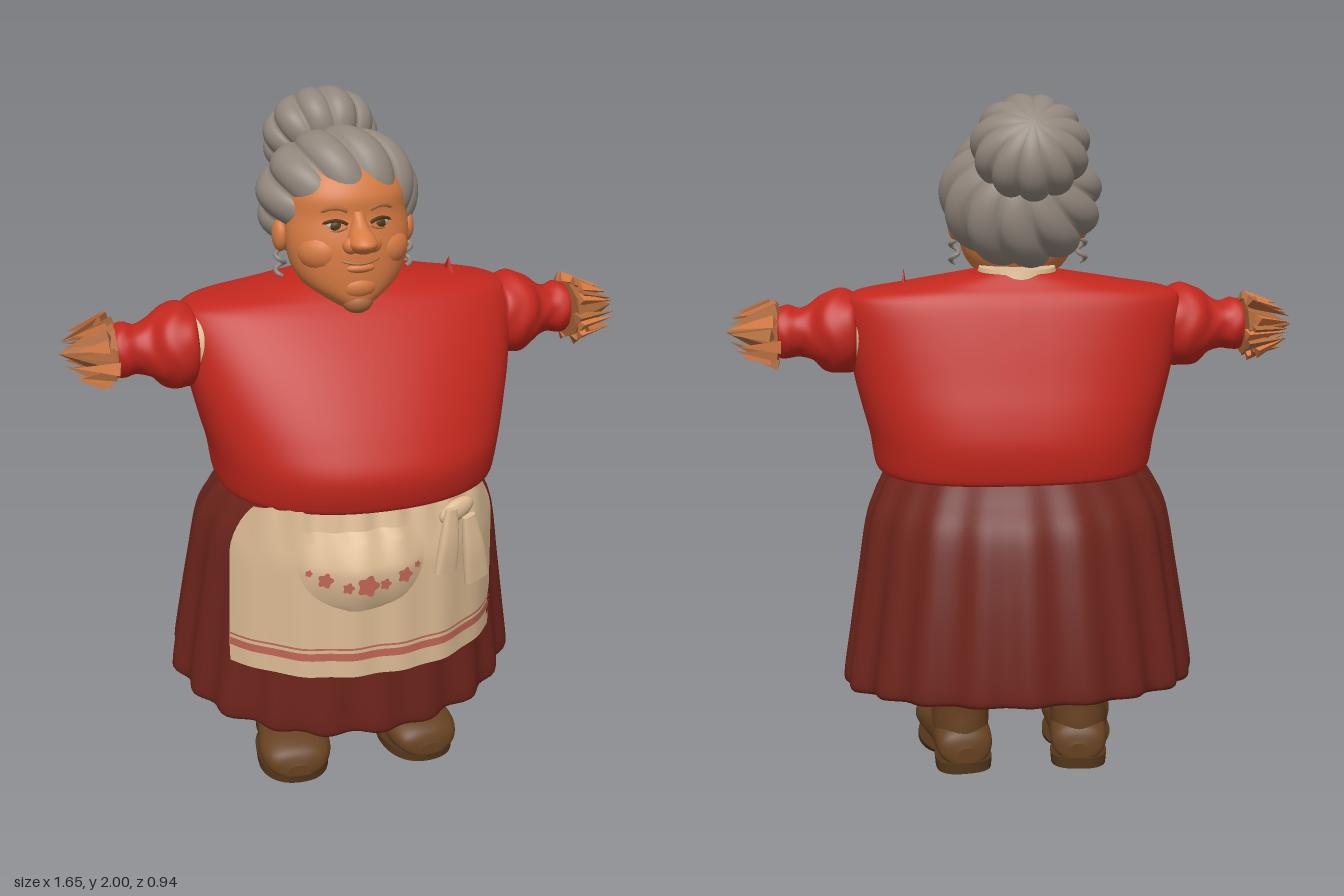
import * as THREE from 'three';

const mat = (name, color, side = THREE.FrontSide) => {
  const m = new THREE.MeshStandardMaterial({ color, side });
  m.name = name;
  return m;
};
const M = {
  skin: mat('skin', 0xd67a42),
  darkSkin: mat('dark skin', 0xb06c3e, THREE.DoubleSide),
  red: mat('red wool', 0xc1271d),
  maroon: mat('maroon cloth', 0x6c241b, THREE.DoubleSide),
  cream: mat('cream linen', 0xdcbb94, THREE.DoubleSide),
  hair: mat('grey hair', 0x91867c),
  boot: mat('brown leather', 0x664120),
  dark: mat('dark brown', 0x53361b),
  white: mat('eye white', 0xb9a391),
  coral: mat('coral embroidery', 0xc26655, THREE.DoubleSide),
};

const add = (parent, name, geo, material, pos = [0, 0, 0], rot = [0, 0, 0], scale = [1, 1, 1]) => {
  const m = new THREE.Mesh(geo, material);
  m.name = name;
  m.position.set(...pos);
  m.rotation.set(...rot);
  m.scale.set(...scale);
  parent.add(m);
  return m;
};

// Skin a list of point rows; closed rows wrap round and get end caps
function loft(rows, closed = true) {
  const n = rows[0].length, pos = [], idx = [];
  rows.forEach(r => r.forEach(p => pos.push(p.x, p.y, p.z)));
  for (let i = 0; i < rows.length - 1; i++)
    for (let j = 0; j < (closed ? n : n - 1); j++) {
      const k = (j + 1) % n, a = i * n + j, b = i * n + k;
      idx.push(a, b, a + n, b, b + n, a + n);
    }
  if (closed) [rows[0], rows[rows.length - 1]].forEach((row, top) => {
    const c = row.reduce((s, p) => s.add(p), new THREE.Vector3()).divideScalar(n);
    const base = pos.length / 3;
    [c, ...row].forEach(p => pos.push(p.x, p.y, p.z));
    for (let j = 0; j < n; j++) {
      const a = base + 1 + j, b = base + 1 + (j + 1) % n;
      top ? idx.push(base, a, b) : idx.push(base, b, a);
    }
  });
  const g = new THREE.BufferGeometry();
  g.setAttribute('position', new THREE.Float32BufferAttribute(pos, 3));
  g.setIndex(idx);
  g.computeVertexNormals();
  return g;
}

// Smooth upright body from keys [y, half width, front z, back z]; n sets squareness
function body(keys, { n = 2, nBack = n, seg = 48, steps = 6, warp } = {}) {
  const cols = [0, 1, 2, 3].map(c => new THREE.SplineCurve(keys.map((k, i) => new THREE.Vector2(i, k[c]))));
  const rows = [], count = (keys.length - 1) * steps;
  for (let i = 0; i <= count; i++) {
    const [y, rx, zf, zb] = cols.map(c => c.getPoint(i / count).y);
    rows.push(Array.from({ length: seg }, (_, j) => {
      const t = j / seg * Math.PI * 2;
      const pw = v => Math.sign(v) * Math.abs(v) ** (2 / (Math.cos(t) > 0 ? n : nBack));
      const p = new THREE.Vector3(rx * pw(Math.sin(t)), y, (zf + zb) / 2 + (zf - zb) / 2 * pw(Math.cos(t)));
      if (warp) warp(p, t, i / count);
      return p;
    }));
  }
  return loft(rows);
}

const sheet = (fn, nu = 24, nv = 12) => loft(Array.from({ length: nv + 1 }, (_, i) =>
  Array.from({ length: nu + 1 }, (_, j) => fn(j / nu, i / nv))), false);

// Grooved ball of hair whose locks meet at both poles
function lockedBall(rx, ry, rz, locks, depth, swirl) {
  const rows = [];
  for (let i = 0; i <= 28; i++) {
    const a = Math.PI * (0.01 + 0.98 * i / 28);
    rows.push(Array.from({ length: locks * 12 }, (_, j) => {
      const t = j / (locks * 12) * Math.PI * 2, w = t + swirl * Math.cos(a);
      const r = Math.sin(a) * (1 - depth * (1 - Math.abs(Math.sin(t * locks / 2)) ** 0.7));
      return new THREE.Vector3(rx * r * Math.sin(w), -ry * Math.cos(a), rz * r * Math.cos(w));
    }));
  }
  return loft(rows);
}

// Apron surface gathered in at the waist, and the pocket that swells from it
const apronPoint = (x, y, off = 0) => {
  const f = Math.min(1, Math.abs(x + 0.02) / 0.4), gather = Math.max(0, y - 0.78);
  const z = 0.22 + (0.2 - 0.25 * gather) * (1 - f ** 2.6);
  return new THREE.Vector3(x, y, z + off + 0.004 * Math.sin(x * 45) + gather * 0.05 * Math.sin(x * 70));
};
const apronX = (u, y) => -0.02 + (u - 0.5) * 2 * (0.4 - 0.02 * Math.max(0, y - 0.5) - 2.2 * Math.max(0, y - 0.78) ** 2);
const pocketPoint = (u, v) => {
  const half = 0.19 * Math.sqrt(1 - (1 - v) ** 3 * 0.95) * (1 - 0.12 * v ** 3);
  return apronPoint(-0.08 + (u * 2 - 1) * half, 0.65 + 0.23 * v,
    0.008 + 0.034 * Math.sin(Math.PI * u) * Math.sin(Math.PI * Math.min(1, v * 0.9 + 0.05)));
};

function buildHead() {
  const head = new THREE.Group();
  head.name = 'head';
  head.position.x = -0.02;
  const ball = (name, m, r, pos, scale) => add(head, name, new THREE.SphereGeometry(r, 20, 14), m, pos, [0, 0, 0], scale);
  add(head, 'face', body([[1.45, 0.05, 0.185, 0.03], [1.475, 0.09, 0.197, -0.01],
    [1.51, 0.135, 0.2, -0.04], [1.56, 0.163, 0.2, -0.06], [1.63, 0.175, 0.195, -0.07], [1.7, 0.17, 0.178, -0.07],
    [1.76, 0.16, 0.172, -0.06], [1.82, 0.12, 0.13, -0.03], [1.86, 0.03, 0.06, 0.02]]), M.skin);
  // Nose widens smoothly from the brow to a round tip
  add(head, 'nose', body([[1.612, 0.012, 0.215, 0.16], [1.62, 0.032, 0.244, 0.16], [1.642, 0.041, 0.265, 0.16],
    [1.662, 0.034, 0.25, 0.15], [1.685, 0.024, 0.212, 0.14], [1.72, 0.018, 0.182, 0.13]], { seg: 24 }), M.skin);
  ball('chin', M.skin, 0.05, [0, 1.512, 0.165], [1.2, 0.8, 0.85]);
  ball('underChin', M.darkSkin, 0.04, [0, 1.466, 0.165], [1.1, 0.85, 0.95]);
  ball('lowerLip', M.skin, 0.03, [0, 1.567, 0.187], [1.5, 0.5, 0.7]);
  const smile = new THREE.QuadraticBezierCurve3(new THREE.Vector3(-0.06, 1.592, 0.184),
    new THREE.Vector3(0, 1.57, 0.224), new THREE.Vector3(0.06, 1.592, 0.184));
  add(head, 'mouth', new THREE.TubeGeometry(smile, 16, 0.004, 6), M.darkSkin);
  for (const s of [-1, 1]) {
    ball('nostril', M.skin, 0.023, [s * 0.031, 1.635, 0.206]);
    ball('cheek', M.skin, 0.078, [s * 0.08, 1.605, 0.114], [1, 0.85, 0.9]);
    ball('eye', M.white, 0.028, [s * 0.063, 1.682, 0.158], [1, 0.55, 0.6]);
    ball('iris', M.dark, 0.018, [s * 0.061, 1.682, 0.169], [1, 0.8, 0.5]);
    ball('ear', M.skin, 0.046, [s * 0.182, 1.632, 0.03], [0.5, 1, 0.75]);
    for (const [name, y, rise, r, z, m] of [['brow', 1.722, 0.022, 0.006, 0.166, M.darkSkin],
      ['upperLid', 1.687, 0.024, 0.005, 0.17, M.dark], ['lowerLid', 1.678, -0.016, 0.004, 0.17, M.darkSkin]]) {
      const c = new THREE.QuadraticBezierCurve3(new THREE.Vector3(s * 0.033, y, z + 0.008),
        new THREE.Vector3(s * 0.065, y + rise, z + 0.013), new THREE.Vector3(s * 0.1, y - 0.004, z - 0.02));
      add(head, name, new THREE.TubeGeometry(c, 12, r, 6), m);
    }
    // Hanging curl beside the ear
    const coil = Array.from({ length: 25 }, (_, i) => new THREE.Vector3(
      s * (0.185 + 0.012 * Math.cos(i * 0.6)), 1.62 - i * 0.0042, 0.035 + 0.012 * Math.sin(i * 0.6)));
    add(head, 'curl', new THREE.TubeGeometry(new THREE.CatmullRomCurve3(coil), 60, 0.007, 6), M.hair);
  }
  add(head, 'hair', lockedBall(0.234, 0.172, 0.217, 11, 0.12, 0.35), M.hair, [0, 1.718, -0.033], [-0.9, 0, 0]);
  add(head, 'bun', lockedBall(0.167, 0.118, 0.16, 11, 0.12, 0.12), M.hair, [-0.012, 1.86, -0.163], [-0.9, 0, 0]);
  return head;
}

function buildArm(seed) {
  const arm = new THREE.Group();
  let s = seed;
  const rnd = () => (s = (s * 16807) % 2147483647) / 2147483647;
  const round = ks => ks.map(([x, r]) => [x, r, r, -r]);
  const along = [0, 0, -Math.PI / 2];
  add(arm, 'shirtCuff', body(round([[0.4, 0.1], [0.465, 0.104]])), M.cream, [0, 1.335, -0.01], along);
  add(arm, 'sleeve', body(round([[0.452, 0.08], [0.458, 0.112], [0.5, 0.122], [0.545, 0.11], [0.58, 0.082],
    [0.615, 0.07], [0.65, 0.077], [0.68, 0.067], [0.69, 0.03]]), {
    warp: (p, t, u) => { const k = 1 + 0.022 * Math.sin(u * 26 + Math.sin(t * 3) * 2); p.x *= k; p.z *= k; },
  }), M.red, [0, 1.335, -0.01], along);
  // Jagged hand: a crumpled faceted cone with blades lying along it
  const facet = (name, r, h, sides, m, pos, rot, scale) => {
    const geo = new THREE.ConeGeometry(r, h, sides).toNonIndexed();
    geo.computeVertexNormals();
    return add(arm, name, geo, m, pos, rot, scale);
  };
  facet('hand', 0.085, 0.15, 9, M.darkSkin, [0.75, 1.333, 0.01], along, [1, 1, 1.3]);
  for (let i = 0; i < 18; i++) {
    const a = (i + rnd()) / 18 * Math.PI * 2, r = 0.075 + 0.02 * rnd(), end = 0.03 + 0.05 * rnd();
    const start = new THREE.Vector3(0.665 + 0.04 * rnd(), 1.333 + r * Math.sin(a), 0.01 + 1.3 * r * Math.cos(a));
    const tip = new THREE.Vector3(0.84 - end * 0.8, 1.333 + end * Math.sin(a), 0.01 + 1.5 * end * Math.cos(a));
    const d = tip.clone().sub(start);
    facet('handBlade', 0.022, d.length(), 3, i % 2 ? M.skin : M.darkSkin, start.lerp(tip, 0.5).toArray())
      .quaternion.setFromUnitVectors(new THREE.Vector3(0, 1, 0), d.normalize());
  }
  return arm;
}

function buildBoot(side) {
  const boot = new THREE.Group();
  boot.name = side > 0 ? 'leftBoot' : 'rightBoot';
  boot.position.x = side > 0 ? 0.163 : -0.202;
  boot.rotation.y = side * 0.1;
  add(boot, 'leg', body([[0.05, 0.08, 0.09, -0.11], [0.13, 0.086, 0.1, -0.11], [0.2, 0.086, 0.085, -0.105],
    [0.27, 0.09, 0.09, -0.115], [0.4, 0.087, 0.085, -0.11]]), M.boot);
  // Foot runs heel to toe: [z, half width, -bottom, -top]
  add(boot, 'foot', body([[-0.125, 0.03, -0.02, -0.08], [-0.1, 0.08, -0.02, -0.13], [0, 0.088, -0.02, -0.165],
    [0.1, 0.1, -0.02, -0.15], [0.19, 0.108, -0.02, -0.132], [0.25, 0.085, -0.02, -0.105], [0.27, 0.035, -0.02, -0.065]],
    { n: 2.3 }), M.boot, [0, 0, 0], [Math.PI / 2, 0, 0]);
  add(boot, 'sole', body([[0.008, 0.106, 0.272, 0.0], [0.032, 0.107, 0.275, -0.05]], { n: 2.3, steps: 1 }), M.dark);
  add(boot, 'heel', body([[0, 0.083, 0.01, -0.13], [0.034, 0.086, 0.02, -0.132]], { n: 2.6, steps: 1 }), M.dark);
  return boot;
}

export function createModel() {
  const g = new THREE.Group();
  g.name = 'grandmother';

  // Sweater: rounded belly in front, squarer across the back
  add(g, 'sweater', body([[0.93, 0.385, 0.385, -0.265], [0.94, 0.405, 0.41, -0.288], [1.03, 0.42, 0.424, -0.3],
    [1.12, 0.443, 0.385, -0.285], [1.22, 0.466, 0.325, -0.255], [1.32, 0.482, 0.255, -0.225],
    [1.41, 0.488, 0.18, -0.195], [1.45, 0.455, 0.14, -0.175], [1.475, 0.32, 0.11, -0.155], [1.505, 0.14, 0.07, -0.13]],
    { n: 2.2, nBack: 2.7, seg: 64 }), M.red);
  add(g, 'shoulderFold', new THREE.ConeGeometry(0.02, 0.06, 4), M.red, [0.315, 1.485, -0.02], [0, 0, 0], [0.4, 1, 3]);
  add(g, 'collar', new THREE.CylinderGeometry(0.11, 0.125, 0.06, 32), M.cream, [-0.01, 1.487, -0.025]);

  // Pleated skirt with a hem that rises towards the back
  add(g, 'skirt', body([[0.269, 0.503, 0.375, -0.455], [0.3, 0.515, 0.388, -0.463], [0.45, 0.495, 0.385, -0.445],
    [0.62, 0.47, 0.38, -0.415], [0.79, 0.443, 0.372, -0.372], [0.88, 0.405, 0.36, -0.315], [0.95, 0.36, 0.35, -0.26]], {
    seg: 160,
    warp: (p, t, u) => {
      const k = 1 + (0.008 + 0.018 * (1 - u)) * Math.cos(t * 20) + 0.008 * Math.sin(t * 11);
      p.x = p.x * k - 0.012;
      p.z *= k;
      p.y -= 0.152 * p.z * (0.95 - p.y) / 0.68;
    },
  }), M.maroon);

  // Apron with hem, stripes, pocket and embroidery
  const band = (name, m, y0, y1, off, nv = 2) => add(g, name, sheet((u, v) => {
    const y = y0 + (y1 - y0) * v;
    return apronPoint(apronX(u, y), y, off);
  }, 60, nv), m);
  band('apron', M.cream, 0.44, 0.94, 0, 20);
  band('apronHem', M.cream, 0.437, 0.475, 0.006);
  band('apronStripe', M.coral, 0.488, 0.512, 0.004);
  band('apronStripe', M.coral, 0.522, 0.528, 0.004);
  add(g, 'pocket', sheet(pocketPoint, 30, 18), M.cream);
  add(g, 'pocketRim', sheet((u, v) => pocketPoint(u, 0.9 + 0.12 * v).add(new THREE.Vector3(0, 0, 0.006)), 30, 2), M.cream);
  for (const [u, v, r] of [[0.18, 0.46, 0.024], [0.5, 0.4, 0.034], [0.82, 0.46, 0.024],
    [0.34, 0.38, 0.018], [0.66, 0.38, 0.018], [0.07, 0.54, 0.011], [0.93, 0.54, 0.011]]) {
    const flower = new THREE.Shape(Array.from({ length: 40 }, (_, i) => {
      const a = i / 40 * Math.PI * 2, q = r * (0.85 + 0.15 * Math.cos(5 * a));
      return new THREE.Vector2(q * Math.cos(a), q * Math.sin(a));
    }));
    const p = pocketPoint(u, v);
    add(g, 'flower', new THREE.ShapeGeometry(flower), M.coral, [p.x, p.y, p.z + 0.007], [0, (u - 0.5) * 0.6, 0]);
  }
  // Tied ribbon: flared tails hanging from a knot
  for (const [x, y, z, w, h, tilt] of [[0.165, 0.83, 0.43, 0.075, 0.19, -0.08], [0.25, 0.785, 0.4, 0.085, 0.21, 0.18]])
    add(g, 'ribbonTail', body([[-h / 2, w / 2, 0.012, -0.012], [0, w * 0.42, 0.018, -0.012], [h / 2, w * 0.25, 0.01, -0.01]],
      { n: 3, seg: 24 }), M.cream, [x, y, z], [0, 0.35, tilt]);
  add(g, 'ribbonKnot', new THREE.SphereGeometry(0.04, 16, 12), M.cream, [0.2, 0.905, 0.395], [0, 0.3, 0.3], [1.5, 0.8, 0.5]);

  const left = buildArm(11), right = buildArm(47);
  left.name = 'leftArm';
  right.name = 'rightArm';
  right.rotation.y = Math.PI;
  g.add(left, right, buildHead(), buildBoot(1), buildBoot(-1));
  return g;
}
